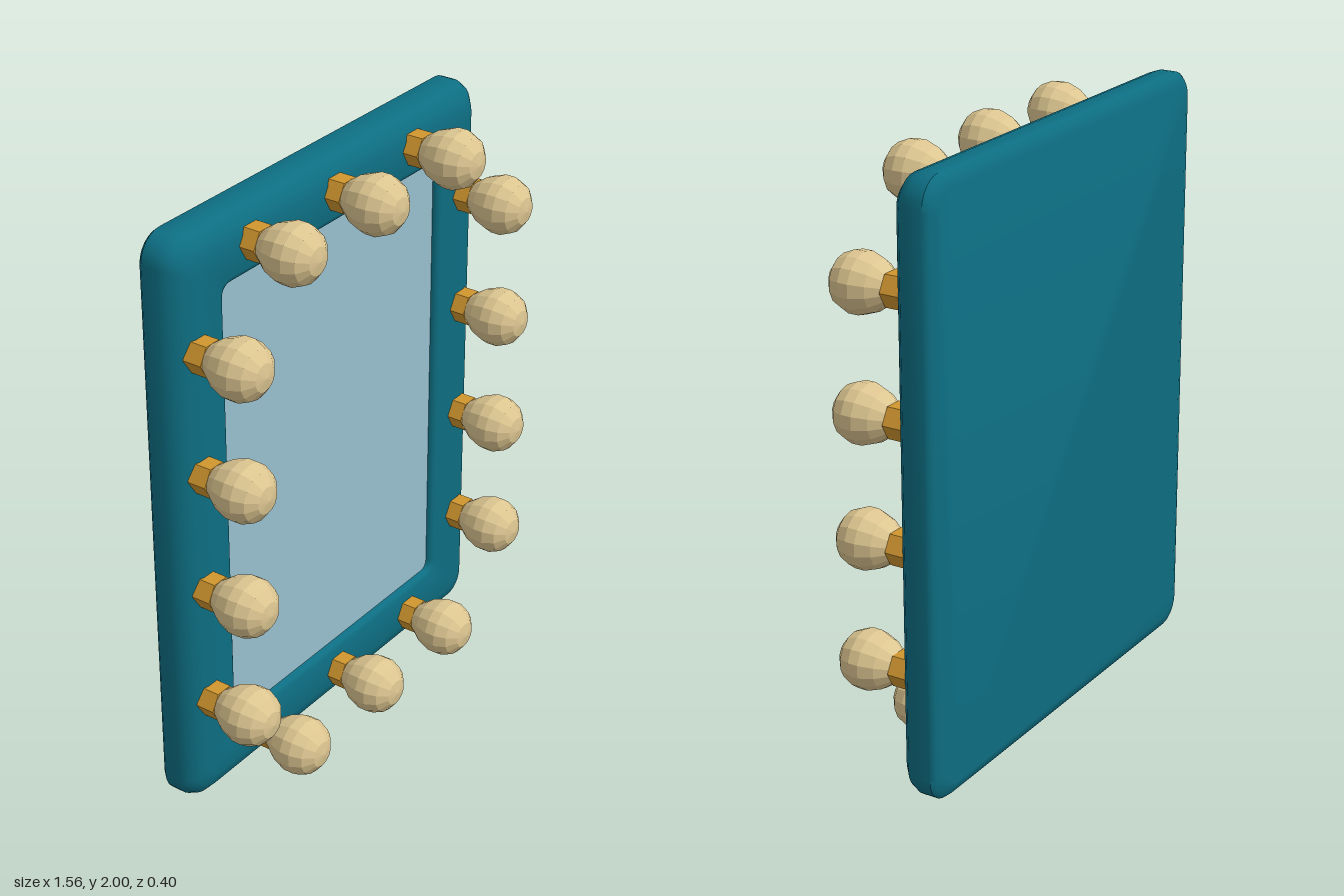
import * as THREE from 'three';
import { toCreasedNormals } from 'three/addons/utils/BufferGeometryUtils.js';

const ARC = 6; // segments per rounded corner

// Points of a rounded rectangle, counter-clockwise seen from the front
function roundedRing(cx, cy, halfW, halfH, r, z) {
  const points = [];
  const corners = [[1, -1], [1, 1], [-1, 1], [-1, -1]];
  corners.forEach(([sx, sy], c) => {
    for (let i = 0; i <= ARC; i++) {
      const a = (c - 1 + i / ARC) * Math.PI / 2;
      points.push([
        cx + sx * (halfW - r) + r * Math.cos(a),
        cy + sy * (halfH - r) + r * Math.sin(a),
        z,
      ]);
    }
  });
  return points;
}

// Skin a list of rings, closing the first one with a fan
function skinRings(rings) {
  const n = rings[0].length;
  const positions = rings.flat(2);
  const index = [];
  for (let k = 0; k < rings.length - 1; k++) {
    for (let i = 0; i < n; i++) {
      const a = k * n + i;
      const b = k * n + (i + 1) % n;
      index.push(a, b, b + n, a, b + n, a + n);
    }
  }
  for (let i = 1; i < n - 1; i++) index.push(0, i + 1, i);
  const geometry = new THREE.BufferGeometry();
  geometry.setAttribute('position', new THREE.Float32BufferAttribute(positions, 3));
  geometry.setIndex(index);
  return toCreasedNormals(geometry, 0.7);
}

export function createModel() {
  const model = new THREE.Group();
  model.name = 'vanityMirror';

  const material = (name, color, flatShading = false) => {
    const m = new THREE.MeshStandardMaterial({ color, flatShading });
    m.name = name;
    return m;
  };
  const teal = material('tealFrame', 0x0d6e82);
  const glass = material('mirrorGlass', 0x98bfcf);
  const cream = material('creamBulb', 0xdcc590, true);
  const brass = material('brassSocket', 0xd0962f, true);

  const add = (parent, name, geometry, mat) => {
    const mesh = new THREE.Mesh(geometry, mat);
    mesh.name = name;
    parent.add(mesh);
    return mesh;
  };

  // Frame: outer profile from back to front as [inset, z]
  const outer = [
    [0.045, -0.2], [0.012, -0.19], [0, -0.175], [0, -0.12],
    [0.012, -0.088], [0.04, -0.062], [0.08, -0.05],
  ].map(([d, z]) => roundedRing(0, 1, 0.78 - d, 1 - d, 0.09 - d * 0.5, z));
  // Rounded lip around the opening as [margin, z]
  const ox = -0.012, oy = 1.005, ow = 0.55, oh = 0.781;
  const lip = [
    [0.022, -0.05], [0.008, -0.055], [0, -0.068], [0, -0.08],
  ].map(([d, z]) => roundedRing(ox, oy, ow + d, oh + d, 0.03 + d, z));
  add(model, 'frame', skinRings([...outer, ...lip]), teal);

  // Mirror pane set inside the opening
  const outline = roundedRing(0, 0, ow, oh, 0.03, 0).map(([x, y]) => new THREE.Vector2(x, y));
  const pane = add(model, 'mirrorPane', new THREE.ShapeGeometry(new THREE.Shape(outline)), glass);
  pane.position.set(ox, oy, -0.072);

  // Light bulbs with hexagonal sockets, pointing forward
  const bulbProfile = [
    [0, 0], [0.05, 0], [0.08, 0.042], [0.097, 0.09], [0.097, 0.125],
    [0.08, 0.165], [0.045, 0.192], [0, 0.2],
  ].map(([r, y]) => new THREE.Vector2(r, y));
  const bulbGeometry = new THREE.LatheGeometry(bulbProfile, 14).rotateX(Math.PI / 2);
  const socketGeometry = new THREE.CylinderGeometry(0.059, 0.059, 0.065, 6)
    .rotateY(Math.PI / 6).rotateX(Math.PI / 2).translate(0, 0, -0.03);

  const places = [];
  for (const x of [-0.43, -0.017, 0.395]) places.push([x, 1.89], [x, 0.12]);
  for (const y of [0.395, 0.805, 1.215, 1.625]) places.push([-0.687, y], [0.683, y]);
  for (const [x, y] of places) {
    const lamp = new THREE.Group();
    lamp.name = 'lamp';
    lamp.position.set(x, y, 0);
    add(lamp, 'socket', socketGeometry, brass);
    add(lamp, 'bulb', bulbGeometry, cream);
    model.add(lamp);
  }
  return model;
}
